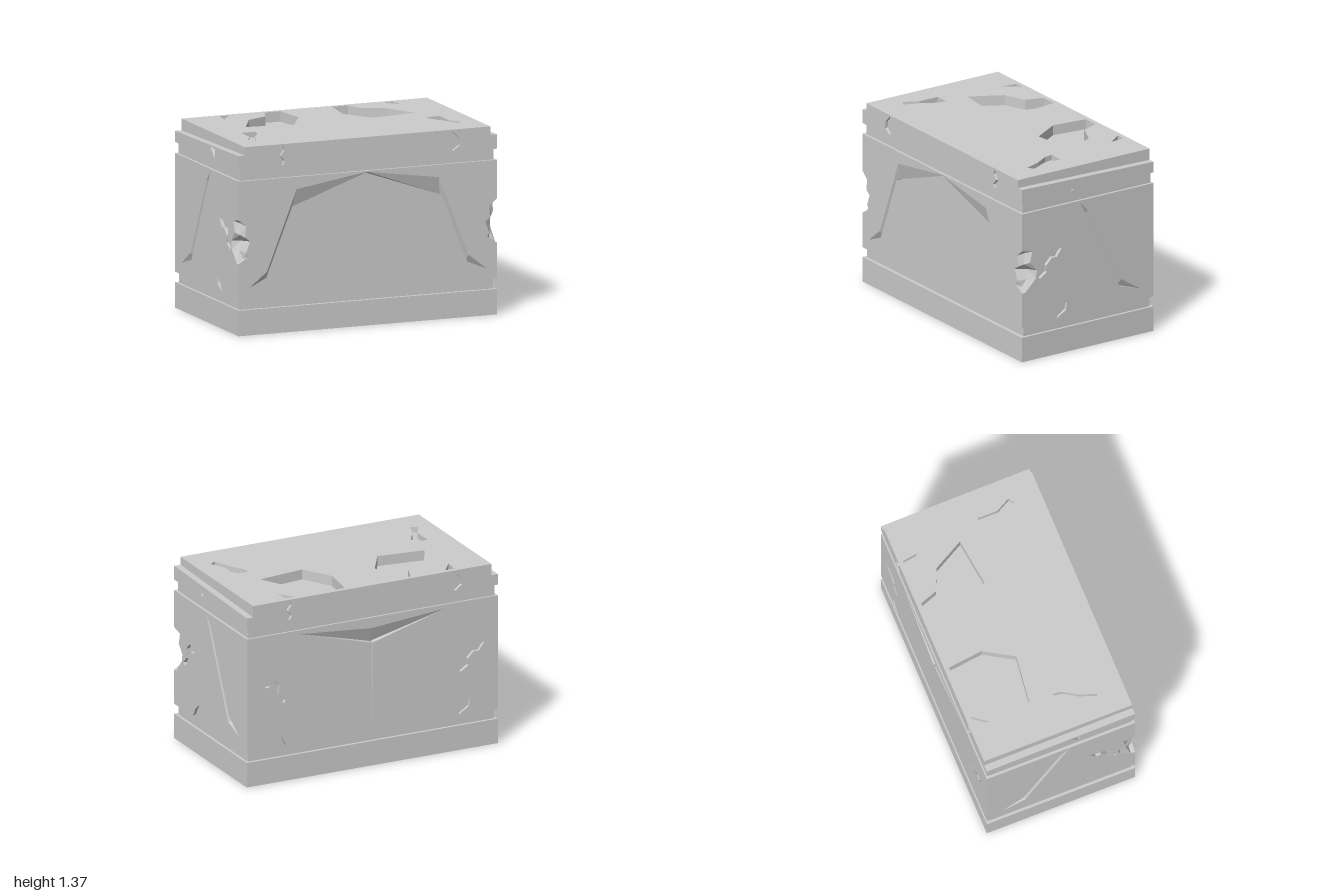
import * as THREE from 'three';

const stone = new THREE.MeshStandardMaterial({ color: 0xcccccc, flatShading: true });
const stoneTwoSided = new THREE.MeshStandardMaterial({ color: 0xcccccc, flatShading: true, side: THREE.DoubleSide });

const vec = (pts) => pts.map(([x, y]) => new THREE.Vector2(x, y));
const flip = (pts) => pts.map(([x, y]) => [-x, y]);
const rect = (x0, y0, x1, y1) => [[x0, y0], [x1, y0], [x1, y1], [x0, y1]];

function mesh(name, geometry, material = stone) {
  const m = new THREE.Mesh(geometry, material);
  m.name = name;
  return m;
}

function block(name, w, y0, y1, d, z = 0) {
  const m = mesh(name, new THREE.BoxGeometry(w, y1 - y0, d));
  m.position.set(0, (y0 + y1) / 2, z);
  return m;
}

// Surface stretched between rows of 3D points
function strip(rows) {
  const pos = [];
  for (let r = 0; r < rows.length - 1; r++) {
    const a = rows[r], b = rows[r + 1];
    for (let i = 0; i < a.length - 1; i++) {
      pos.push(...a[i], ...b[i], ...b[i + 1], ...a[i], ...b[i + 1], ...a[i + 1]);
    }
  }
  const g = new THREE.BufferGeometry();
  g.setAttribute('position', new THREE.Float32BufferAttribute(pos, 3));
  g.computeVertexNormals();
  return g;
}

// Slab facing +z with its face at z = 0. A dent is a hole with a flat floor
// (depth) or with a floor sloping from its outer edge to a deeper inner edge.
function panel(name, outline, dents, thickness) {
  const group = new THREE.Group();
  group.name = name;
  const shape = new THREE.Shape(vec(outline));
  for (const { points, depth, outer, inner } of dents) {
    const edge = points ?? [...outer, ...inner.slice(1, -1).reverse()];
    shape.holes.push(new THREE.Path(vec(edge)));
    if (outer) {
      const last = outer.length - 1;
      group.add(mesh('crackFloor', strip([
        outer.map(([x, y]) => [x, y, 0]),
        inner.map(([x, y], i) => [x, y, i === 0 || i === last ? 0 : -depth]),
      ]), stoneTwoSided));
    } else if (depth < thickness) {
      const floor = mesh('chipFloor', new THREE.ShapeGeometry(new THREE.Shape(vec(edge))));
      floor.position.z = -depth;
      group.add(floor);
    }
  }
  const g = new THREE.ExtrudeGeometry(shape, { depth: thickness, bevelEnabled: false });
  g.translate(0, 0, -thickness);
  group.add(mesh('slab', g));
  return group;
}

const T = 0.04; // thickness of the body walls
const FRONT = 0.57, BACK = -0.565;

// Broken front corners: matching edges on the front (x, y) and the side (z, y)
const cornerFront = [[1, 0.84], [0.94, 0.79], [0.95, 0.71], [0.91, 0.68], [0.94, 0.6], [0.925, 0.57], [1, 0.52]];
const cornerSide = [[0.57, 0.84], [0.48, 0.82], [0.5, 0.74], [0.44, 0.67], [0.45, 0.61], [0.54, 0.52], [0.57, 0.27]];

// Cracks and chips
const archOuter = [[-0.92, 0.34], [-0.78, 0.45], [-0.55, 1.03], [0, 1.112]];
const archInner = [[-0.92, 0.34], [-0.77, 0.4], [-0.57, 0.9], [0, 1.1]];
const mirrored = (half) => [...half, ...flip(half.slice(0, -1)).reverse()];
const zigzag = [[0.225, 0.8], [0.27, 0.735], [0.31, 0.74], [0.36, 0.69], [0.355, 0.64], [0.415, 0.6],
  [0.43, 0.62], [0.375, 0.67], [0.38, 0.74], [0.33, 0.79], [0.29, 0.785]];
const lowChip = [[0.275, 0.265], [0.24, 0.33], [0.18, 0.38], [0.19, 0.32]];
const capChip = [[0.655, 1.355], [0.71, 1.3], [0.715, 1.25], [0.66, 1.21], [0.64, 1.24], [0.675, 1.28], [0.645, 1.32]];
const crater = [[0.2, -0.53], [0.17, -0.27], [0.3, -0.055], [0.655, -0.1], [0.53, -0.33], [0.37, -0.4], [0.325, -0.53]];
const topChips = [
  [[0.6, -0.53], [0.67, -0.53], [0.685, -0.415]],
  [[0.66, 0.08], [0.77, 0.08], [0.77, 0.235], [0.825, 0.34], [0.78, 0.37], [0.73, 0.24], [0.67, 0.145]],
];

function buildBody() {
  const body = new THREE.Group();
  body.name = 'body';

  // Core behind the walls, cut back at the front corners
  const plan = [[-0.96, -0.525], [0.96, -0.525], [0.96, 0.4], [0.87, 0.53], [-0.87, 0.53], [-0.96, 0.4]];
  const core = new THREE.ExtrudeGeometry(new THREE.Shape(vec(plan.map(([x, z]) => [x, -z]))),
    { depth: 0.86, bevelEnabled: false });
  core.rotateX(-Math.PI / 2).translate(0, 0.26, 0);
  body.add(mesh('core', core));

  // Front with the arched crack
  const front = panel('frontWall',
    [[1, 1.12], ...cornerFront, [1, 0.26], [-1, 0.26], ...flip(cornerFront).reverse(), [-1, 1.12]],
    [{ outer: mirrored(archOuter), inner: mirrored(archInner), depth: 0.035 }], T);
  front.position.z = FRONT;
  body.add(front);

  // Back with the forked crack, zigzags and chips
  const forkTop = [[-0.58, 1.09], [0, 1.04], [0.58, 1.09]];
  const backDents = [
    { points: [...forkTop, [0.008, 0.93], [0, 0.32], [-0.008, 0.93]], outer: forkTop,
      inner: [forkTop[0], [0, 0.93], forkTop[2]], depth: 0.038 },
  ];
  for (const s of [1, -1]) {
    backDents.push({ points: zigzag.map(([x, y]) => [s * (1.12 - x), y - 0.01]), depth: 0.025 });
    backDents.push({ points: lowChip.map(([x, y]) => [s * (0.96 - x), y]), depth: 0.02 });
  }
  const back = panel('backWall', rect(-1, 0.26, 1, 1.12), backDents, T);
  back.rotation.y = Math.PI;
  back.position.z = BACK;
  body.add(back);

  // Mirrored sides and broken corners
  for (const s of [1, -1]) {
    const u = (pts) => pts.map(([z, y]) => [-s * z, y]);
    const side = panel(s > 0 ? 'leftWall' : 'rightWall',
      u([[FRONT, 1.12], ...cornerSide, [FRONT, 0.26], [BACK, 0.26], [BACK, 1.12]]), [
        { outer: u([[0.07, 1.11], [0, 1.03], [-0.285, 0.45], [-0.45, 0.345]]),
          inner: u([[0.07, 1.11], [0.02, 1.005], [-0.27, 0.4], [-0.45, 0.345]]), depth: 0.03 },
        { points: u(zigzag), depth: 0.025 },
        { points: u(lowChip), depth: 0.02 },
      ], T);
    side.rotation.y = s * Math.PI / 2;
    side.position.x = s;
    body.add(side);

    const a = cornerFront.map(([x, y]) => [s * x, y, FRONT]);
    const c = cornerSide.map(([z, y]) => [s, y, z]);
    const last = a.length - 1;
    const mid = a.map((p, i) => {
      const push = i === 0 || i === last ? 0 : i % 2 ? 0.012 : 0.002;
      return [(p[0] + c[i][0]) / 2 - s * push, (p[1] + c[i][1]) / 2, (p[2] + c[i][2]) / 2 - push];
    });
    body.add(mesh('brokenCorner', strip([a, mid, c]), stoneTwoSided));
  }
  return body;
}

function buildCap() {
  const cap = new THREE.Group();
  cap.name = 'cap';
  cap.add(block('capCore', 1.9, 1.2, 1.285, 1.07));

  // Top slab with craters
  const topDents = [];
  for (const s of [1, -1]) {
    const lay = (pts) => pts.map(([x, z]) => [s * x, -z]);
    topDents.push({ points: lay(crater), depth: 0.075 });
    for (const chip of topChips) topDents.push({ points: lay(chip), depth: 0.04 });
  }
  const top = panel('capTop', rect(-0.95, -0.54, 0.95, 0.535), topDents, 0.08);
  top.rotation.x = -Math.PI / 2;
  top.position.y = 1.365;
  cap.add(top);

  // Front and back edges with chips
  for (const [name, z, turn] of [['capFront', FRONT, 0], ['capBack', BACK, Math.PI]]) {
    const edge = panel(name, rect(-0.95, 1.2, 0.95, 1.365),
      [capChip, flip(capChip)].map((points) => ({ points, depth: 0.022 })), 0.03);
    edge.rotation.y = turn;
    edge.position.z = z;
    cap.add(edge);
  }

  // Lower side ledges with a sloping top
  for (const s of [1, -1]) {
    const u = (pts) => pts.map(([z, y]) => [-s * z, y]);
    const ledge = panel('capLedge', u([[FRONT, 1.2], [FRONT, 1.305], [BACK, 1.28], [BACK, 1.2]]),
      [{ points: u([[0.14, 1.205], [0.155, 1.28], [0.07, 1.28]]), depth: 0.025 }], 0.05);
    ledge.rotation.y = s * Math.PI / 2;
    ledge.position.x = s;
    cap.add(ledge);
  }
  return cap;
}

export function createModel() {
  const model = new THREE.Group();
  model.name = 'stoneBlock';
  model.add(
    block('base', 2, 0, 0.185, 1.135, 0.0025),
    block('lowerGroove', 1.96, 0.185, 0.26, 1.085),
    buildBody(),
    block('upperGroove', 1.96, 1.12, 1.2, 1.1),
    buildCap(),
  );
  return model;
}
